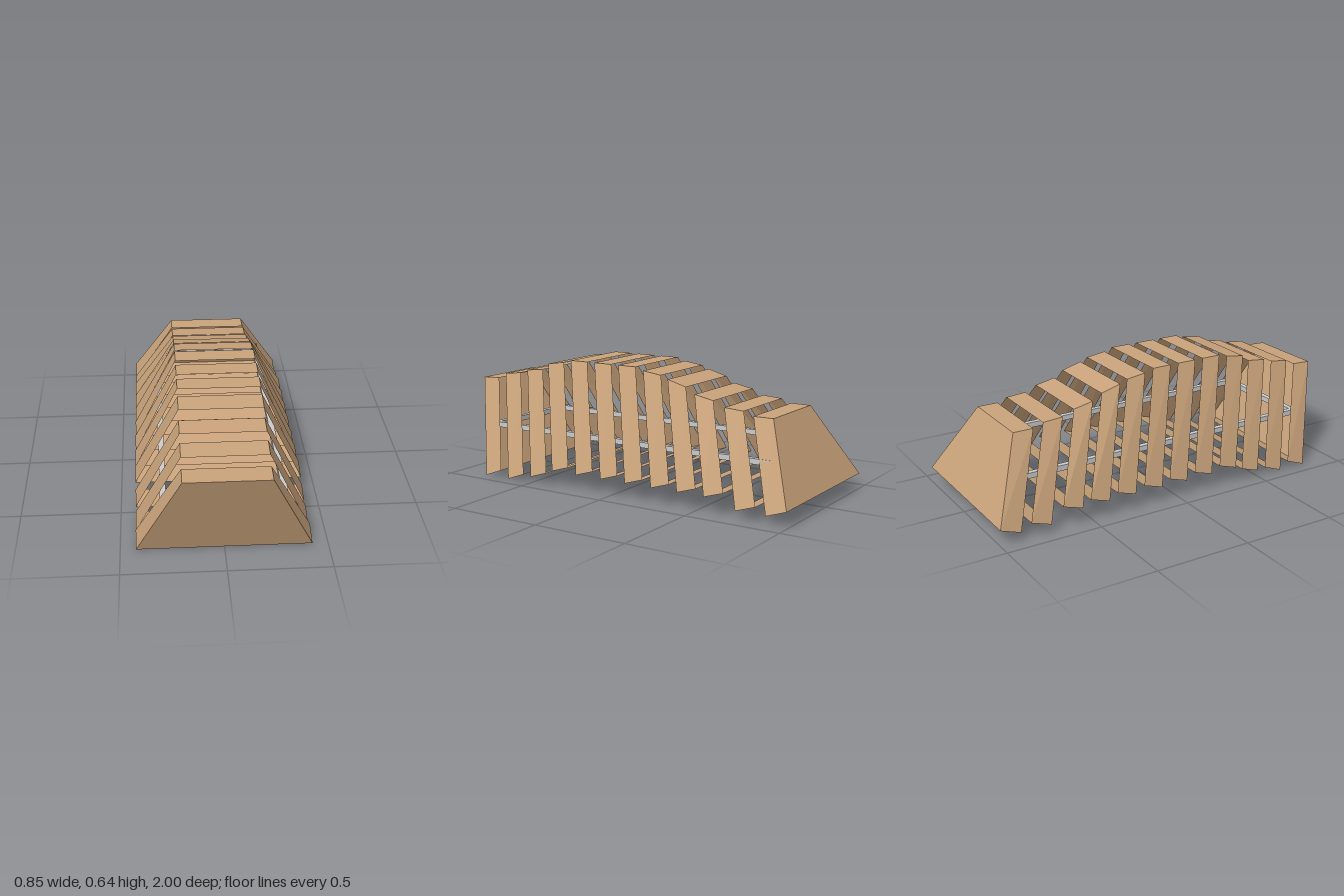
import * as THREE from 'three';

const TOP_X = 0.205, BOTTOM_X = 0.425;

// Side profile of each rib: [topZ, frontTopY, backTopY, bottomZ, frontBottomY, backBottomY]
const RIBS = [
  [1.0, 0.497, 0.502, 0.81, 0.003, 0.042],
  [0.842, 0.531, 0.544, 0.655, 0.003, 0.042],
  [0.687, 0.563, 0.575, 0.5, 0.036, 0.07],
  [0.542, 0.609, 0.625, 0.355, 0.087, 0.12],
  [0.388, 0.639, 0.639, 0.2, 0.087, 0.12],
  [0.235, 0.639, 0.639, 0.046, 0.087, 0.12],
  [0.083, 0.639, 0.639, -0.104, 0.087, 0.12],
  [-0.07, 0.623, 0.609, -0.259, 0.087, 0.12],
  [-0.217, 0.592, 0.563, -0.409, 0.087, 0.12],
  [-0.374, 0.531, 0.51, -0.559, 0.087, 0.12],
  [-0.543, 0.483, 0.476, -0.73, 0.045, 0.08],
  [-0.703, 0.457, 0.457, -0.89, 0.045, 0.082],
];

const wood = new THREE.MeshStandardMaterial({ color: 0xc8a27a, side: THREE.DoubleSide, flatShading: true });
const metal = new THREE.MeshStandardMaterial({ color: 0xcccccc });

// Four corners of a trapezoid ring, counter-clockwise seen from the front
const ring = (topY, topZ, bottomY, bottomZ) => [
  [-BOTTOM_X, bottomY, bottomZ], [BOTTOM_X, bottomY, bottomZ],
  [TOP_X, topY, topZ], [-TOP_X, topY, topZ],
];

function quadMesh(name, quads) {
  const pos = [];
  for (const [a, b, c, d] of quads) pos.push(...a, ...b, ...c, ...a, ...c, ...d);
  const g = new THREE.BufferGeometry();
  g.setAttribute('position', new THREE.Float32BufferAttribute(pos, 3));
  g.computeVertexNormals();
  const m = new THREE.Mesh(g, wood);
  m.name = name;
  return m;
}

function bar(parent, name, w, h, d, x, y, z) {
  const m = new THREE.Mesh(new THREE.BoxGeometry(w, h, d), metal);
  m.name = name;
  m.position.set(x, y, z);
  parent.add(m);
}

export function createModel() {
  const model = new THREE.Group();
  model.name = 'slattedBench';

  // Thin, leaning trapezoid ribs, open to front and back
  const ribs = new THREE.Group();
  ribs.name = 'ribs';
  model.add(ribs);
  RIBS.forEach(([tz, fty, bty, bz, fby, bby], i) => {
    const front = ring(fty, tz, fby, bz);
    const back = ring(bty, tz - 0.107, bby, bz - 0.106);
    const quads = front.map((p, k) => {
      const n = (k + 1) % 4;
      return [p, back[k], back[n], front[n]];
    });
    ribs.add(quadMesh('rib' + (i + 1), quads));

    // End panels close the outer faces of the first and last rib
    if (i === 0) model.add(quadMesh('frontPanel', [front]));
    if (i === RIBS.length - 1) model.add(quadMesh('backPanel', [[...back].reverse()]));
  });

  // Rectangular metal rail loop that joins the ribs inside
  const rails = new THREE.Group();
  rails.name = 'railFrame';
  model.add(rails);
  for (const s of [1, -1]) {
    bar(rails, s > 0 ? 'leftRail' : 'rightRail', 0.028, 0.028, 1.69, s * 0.29, 0.263, 0);
    bar(rails, s > 0 ? 'frontCrossbar' : 'backCrossbar', 0.552, 0.028, 0.028, 0, 0.263, s * 0.831);
  }
  return model;
}
